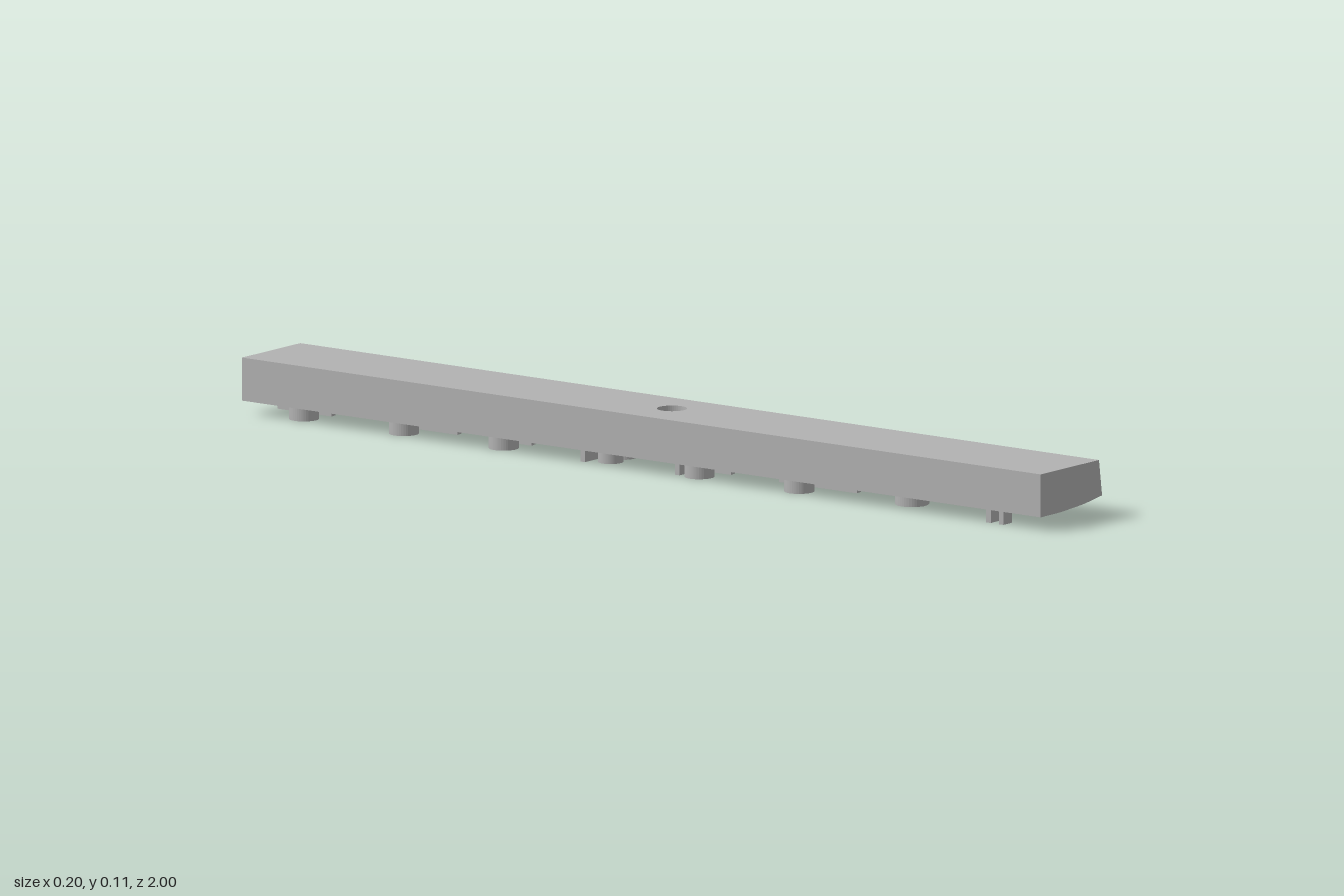
import * as THREE from 'three';

// Underside profile across the width: [x, y]
const PROFILE = [[-0.1, 0.028], [-0.035, 0.0285], [0.035, 0.033], [0.068, 0.037], [0.1, 0.042]];
const TOP = 0.115;
const DEPTH = 0.028;

function underside(x) {
  for (let i = 1; i < PROFILE.length; i++) {
    const [x0, y0] = PROFILE[i - 1], [x1, y1] = PROFILE[i];
    if (x <= x1 + 1e-6) return y0 + (y1 - y0) * (x - x0) / (x1 - x0);
  }
  return PROFILE[PROFILE.length - 1][1];
}

// Shift a flat relief so that it follows the curved underside
function follow(geo) {
  const p = geo.attributes.position;
  for (let i = 0; i < p.count; i++) p.setY(i, p.getY(i) + underside(p.getX(i)));
  geo.computeVertexNormals();
  return geo;
}

// One lengthwise strip of the plank, without the walls shared with its neighbours
function stripGeometry(x0, x1, withHole) {
  const s = new THREE.Shape();
  s.moveTo(x0, -1).lineTo(x1, -1).lineTo(x1, 1).lineTo(x0, 1).closePath();
  if (withHole) s.holes.push(new THREE.Path().absarc(0, 0, 0.03, 0, Math.PI * 2, true));
  const src = new THREE.ExtrudeGeometry(s, { depth: 1, bevelEnabled: false, curveSegments: 24 });
  src.rotateX(Math.PI / 2);
  const p = src.attributes.position, out = [];
  const inner = x => Math.abs(x) < 0.0999;
  for (let i = 0; i < p.count; i += 3) {
    const x = p.getX(i);
    const flat = [1, 2].every(k => Math.abs(p.getX(i + k) - x) < 1e-6);
    const onSeam = Math.abs(x - x0) < 1e-6 || Math.abs(x - x1) < 1e-6;
    if (flat && onSeam && inner(x)) continue;
    for (let k = 0; k < 3; k++) {
      const vx = p.getX(i + k), isTop = p.getY(i + k) > -0.5;
      // The left long side leans inward toward the top
      out.push(isTop && vx > 0.0999 ? 0.09 : vx, isTop ? TOP : underside(vx), p.getZ(i + k));
    }
  }
  const geo = new THREE.BufferGeometry();
  geo.setAttribute('position', new THREE.Float32BufferAttribute(out, 3));
  geo.computeVertexNormals();
  return geo;
}

export function createModel() {
  const model = new THREE.Group();
  model.name = 'plank';
  const grey = new THREE.MeshStandardMaterial({ color: 0xb2b2b2 });
  grey.name = 'grey';

  const add = (name, geo, parent) => {
    const m = new THREE.Mesh(geo, grey);
    m.name = name;
    parent.add(m);
  };

  // Plank body with a round through hole
  const body = new THREE.Group();
  body.name = 'body';
  model.add(body);
  for (let i = 1; i < PROFILE.length; i++) {
    add('bodyStrip', stripGeometry(PROFILE[i - 1][0], PROFILE[i][0], i === 2), body);
  }

  // Raised ribs and rings on the underside
  const relief = new THREE.Group();
  relief.name = 'undersideRelief';
  model.add(relief);

  const rib = (name, x0, x1, z0, z1) => {
    const g = new THREE.BoxGeometry(x1 - x0, DEPTH, z1 - z0, x1 - x0 > 0.05 ? 8 : 1, 1, 1);
    g.translate((x0 + x1) / 2, -DEPTH / 2, (z0 + z1) / 2);
    add(name, follow(g), relief);
  };

  const ring = (x, z, r, wall = 0.009) => {
    const s = new THREE.Shape().absarc(x, z, r, 0, Math.PI * 2, false);
    s.holes.push(new THREE.Path().absarc(x, z, r - wall, 0, Math.PI * 2, true));
    const g = new THREE.ExtrudeGeometry(s, { depth: DEPTH, bevelEnabled: false, curveSegments: 20 });
    g.rotateX(Math.PI / 2);
    add('ring', follow(g), relief);
  };

  // Long ribs: [z start, z end]
  for (const [z0, z1] of [[-0.975, -0.84], [-0.66, -0.525], [-0.41, -0.34], [0.03, 0.16], [0.28, 0.475]]) {
    rib('longRib', -0.016, -0.003, z0, z1);
  }
  // Rings beside the long ribs
  for (const z of [-0.875, -0.625, -0.375, 0.115, 0.365]) ring(-0.06, z, 0.03);
  // Cross rib with three small rings
  rib('crossRib', -0.08, 0.085, -0.168, -0.156);
  for (const x of [0.055, 0.002, -0.046]) ring(x, -0.118, 0.025);
  // Short spur, lone ring and twin pins
  rib('spur', -0.075, -0.045, 0.065, 0.077);
  ring(-0.03, 0.625, 0.034);
  for (const z of [0.863, 0.895]) rib('pin', -0.092, -0.065, z - 0.006, z + 0.006);

  return model;
}
